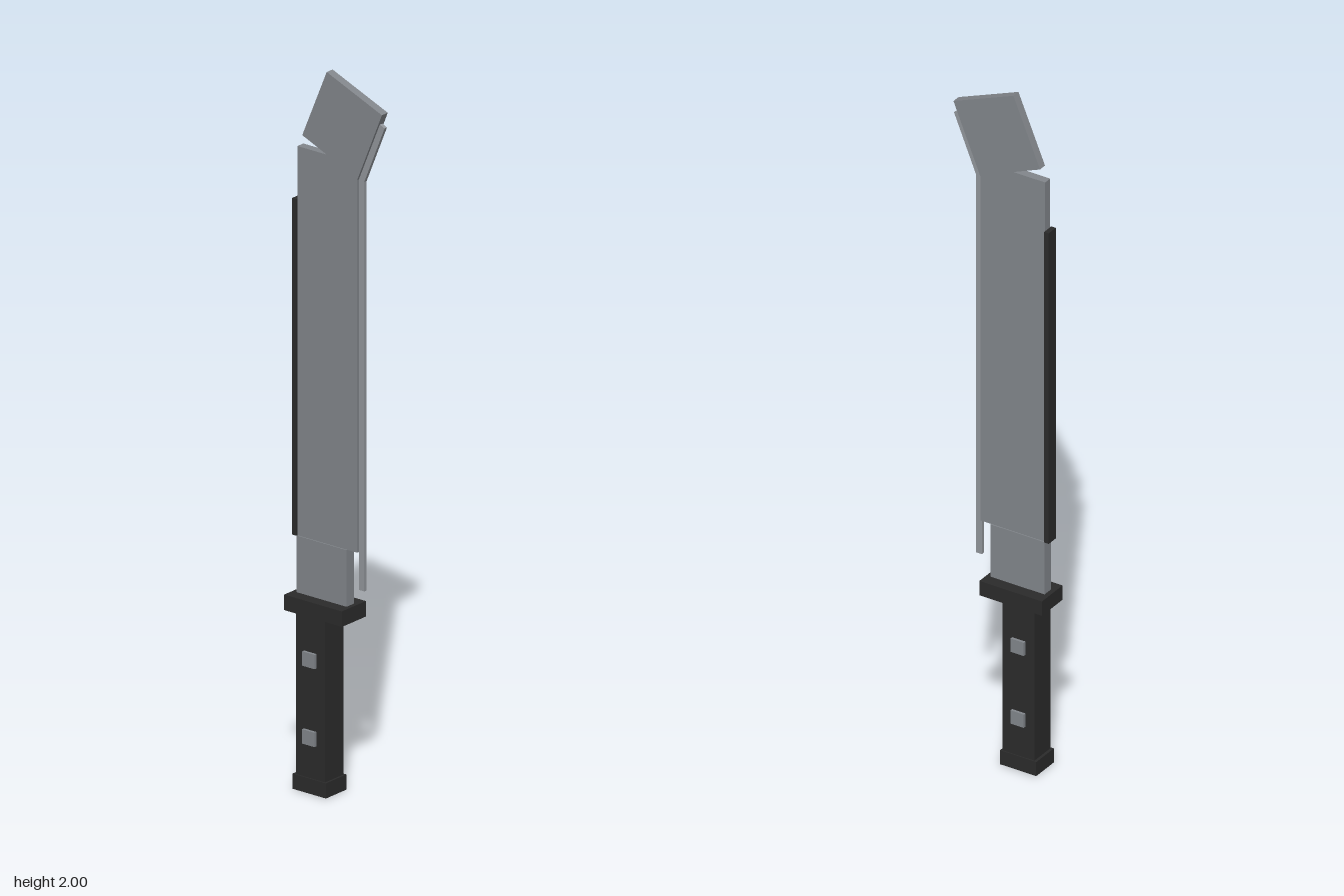
import * as THREE from 'three';

const steel = new THREE.MeshStandardMaterial({ color: 0x83878c });
steel.name = 'steel';
const edgeSteel = new THREE.MeshStandardMaterial({ color: 0x93979c });
edgeSteel.name = 'edge steel';
const black = new THREE.MeshStandardMaterial({ color: 0x2b2b2b });
black.name = 'black grip';

// Box given by its x and y limits and half its depth
function box(name, x0, x1, y0, y1, halfZ, material) {
  const mesh = new THREE.Mesh(new THREE.BoxGeometry(x1 - x0, y1 - y0, halfZ * 2), material);
  mesh.position.set((x0 + x1) / 2, (y0 + y1) / 2, 0);
  mesh.name = name;
  return mesh;
}

// Flat plate cut from an outline, centred on z = 0
function plate(name, points, halfZ, material) {
  const shape = new THREE.Shape(points.map(([x, y]) => new THREE.Vector2(x, y)));
  const geometry = new THREE.ExtrudeGeometry(shape, { depth: halfZ * 2, bevelEnabled: false });
  geometry.translate(0, 0, -halfZ);
  const mesh = new THREE.Mesh(geometry, material);
  mesh.name = name;
  return mesh;
}

export function createModel() {
  const model = new THREE.Group();
  model.name = 'machete';

  // Handle
  model.add(
    box('pommel', -0.13, -0.018, 0, 0.042, 0.042, black),
    box('grip', -0.122, -0.024, 0.042, 0.492, 0.038, black),
    box('guard', -0.152, 0.041, 0.492, 0.535, 0.049, black),
  );

  // Square rivets through the grip
  for (const y of [0.155, 0.371]) {
    model.add(box('rivet', -0.094, -0.053, y - 0.02, y + 0.02, 0.046, steel));
  }

  // Blade with a notched, tilted tip
  model.add(box('bladeBase', -0.138, 0.029, 0.535, 0.692, 0.015, steel));
  model.add(plate('blade', [
    [-0.138, 0.692], [0.062, 0.692], [0.062, 1.725], [0.145, 1.925],
    [-0.04, 2], [-0.122, 1.805], [-0.04, 1.771], [-0.138, 1.771],
  ], 0.012, steel));

  // Thin cutting edge that follows the bend of the blade
  model.add(plate('cuttingEdge', [
    [0.062, 0.587], [0.08, 0.587], [0.08, 1.722], [0.148, 1.887],
    [0.132, 1.894], [0.062, 1.725],
  ], 0.005, edgeSteel));

  // Dark strip along the back of the blade
  model.add(box('spine', -0.152, -0.138, 0.692, 1.625, 0.017, black));

  return model;
}
